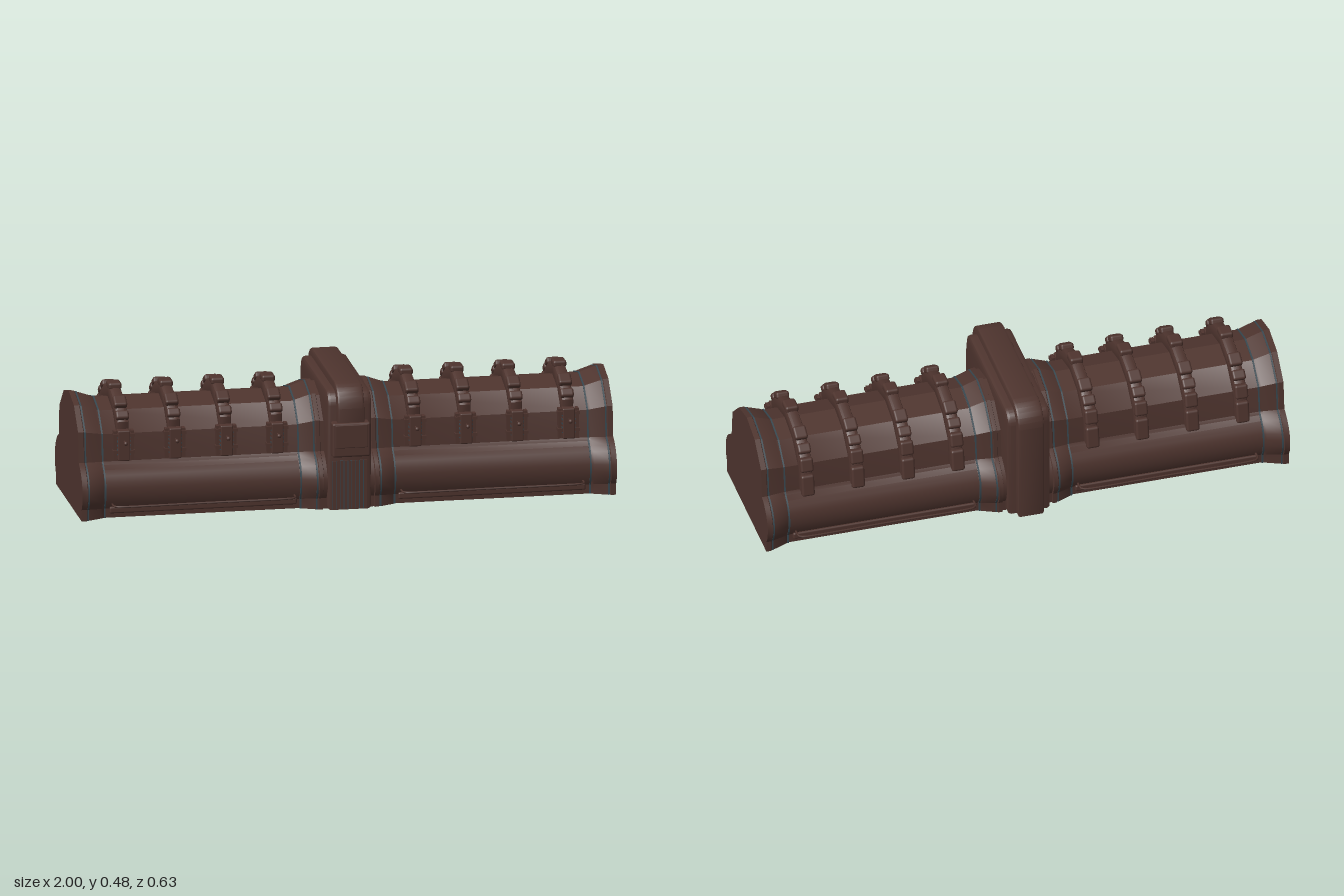
import * as THREE from 'three';
import { toCreasedNormals } from 'three/addons/utils/BufferGeometryUtils.js';
import { RoundedBoxGeometry } from 'three/addons/geometries/RoundedBoxGeometry.js';

const ZC = -0.005; // hull centre line in z

// Half cross-sections [half width, y], from the floor to the ridge
const HULL = [[0.228, 0], [0.228, 0.035], [0.24, 0.06], [0.246, 0.09], [0.246, 0.115], [0.241, 0.138],
  [0.23, 0.16], [0.215, 0.178], [0.197, 0.193], [0.19, 0.204], [0.176, 0.305], [0.1, 0.375], [0, 0.4]];
const FLANGE = [[0.262, 0], [0.262, 0.043], [0.274, 0.065], [0.28, 0.09], [0.28, 0.12], [0.272, 0.143],
  [0.259, 0.165], [0.24, 0.184], [0.222, 0.197], [0.202, 0.206], [0.19, 0.32], [0.105, 0.4], [0, 0.427]];

// Full ring between the two sections: t = 0 hull, t = 1 flange
function ring(x, t) {
  const half = HULL.map(([w, y], i) => [w + (FLANGE[i][0] - w) * t, y + (FLANGE[i][1] - y) * t]);
  const front = half.map(([w, y]) => [x, y, ZC + w]);
  const back = half.slice(0, -1).reverse().map(([w, y]) => [x, y, ZC - w]);
  return [...front, ...back];
}

// Capped loft through stations [x, t], sorted along x
function loft(stations) {
  const rings = stations.map(([x, t]) => ring(x, t));
  const n = rings[0].length, pos = [];
  const tri = (...p) => p.forEach((v) => pos.push(...v));
  for (let i = 0; i < rings.length - 1; i++) {
    for (let j = 0; j < n; j++) {
      const k = (j + 1) % n, a = rings[i], b = rings[i + 1];
      tri(a[j], b[j], a[k]);
      tri(a[k], b[j], b[k]);
    }
  }
  const first = rings[0], last = rings[rings.length - 1];
  for (let j = 0; j < n; j++) {
    const k = (j + 1) % n;
    tri([first[0][0], 0.15, ZC], first[j], first[k]);
    tri([last[0][0], 0.15, ZC], last[k], last[j]);
  }
  const g = new THREE.BufferGeometry();
  g.setAttribute('position', new THREE.Float32BufferAttribute(pos, 3));
  return toCreasedNormals(g, 0.42);
}

// Extrude a (z, y) shape along x, centred, with a bevel kept inside the outline
function extrudeAcross(shape, width, bevel) {
  const g = new THREE.ExtrudeGeometry(shape, {
    depth: width - 2 * bevel, bevelEnabled: true, bevelThickness: bevel, bevelSize: bevel,
    bevelOffset: -bevel, bevelSegments: 2, curveSegments: 6,
  });
  g.translate(0, 0, -(width - 2 * bevel) / 2);
  g.rotateY(-Math.PI / 2);
  return toCreasedNormals(g, 0.4);
}

// Arch outline with rounded shoulders; the front leg steps back to stepZ below frontY
function archShape(z0, z1, top, r, frontY = 0, stepZ = z1) {
  const s = new THREE.Shape();
  s.moveTo(z0, 0);
  s.lineTo(stepZ, 0);
  if (frontY > 0) {
    s.lineTo(stepZ, frontY);
    s.lineTo(z1, frontY);
  }
  s.lineTo(z1, top - r);
  s.quadraticCurveTo(z1 - r * 0.1, top - r * 0.1, z1 - r, top);
  s.lineTo(z0 + r, top);
  s.quadraticCurveTo(z0 + r * 0.1, top - r * 0.1, z0, top - r);
  return s;
}

export function createModel() {
  const brown = new THREE.MeshStandardMaterial({ color: 0x4e342e });
  brown.name = 'dark brown';
  const slate = new THREE.MeshStandardMaterial({ color: 0x37474f });
  slate.name = 'slate grey';

  const model = new THREE.Group();
  model.name = 'container';
  const add = (parent, name, geo, mat, x = 0, y = 0, z = 0) => {
    const m = new THREE.Mesh(geo, mat);
    m.name = name;
    m.position.set(x, y, z);
    parent.add(m);
    return m;
  };
  const box = (w, h, d) => new THREE.BoxGeometry(w, h, d);

  // Hull halves with flared flanges, seams and side rails
  const stations = [[0.07, 0.75], [0.095, 0.75], [0.097, 1], [0.112, 1], [0.114, 0.85], [0.125, 0.8], [0.17, 0.2],
    [0.18, 0], [0.91, 0], [0.92, 0.2], [0.968, 0.8], [0.978, 0.85], [0.98, 1], [1, 1]];
  for (const s of [1, -1]) {
    const side = new THREE.Group();
    side.name = s > 0 ? 'leftHalf' : 'rightHalf';
    model.add(side);
    const along = (list) => list.map(([x, t]) => [x * s, t]).sort((a, b) => a[0] - b[0]);
    add(side, 'hull', loft(along(stations)), brown);
    for (const [x, t] of [[0.176, 0.16], [0.908, 0.12], [0.974, 0.88], [0.119, 0.88]]) {
      add(side, 'seam', loft(along([[x - 0.003, t], [x + 0.003, t]])), slate);
    }
    for (const f of [1, -1]) {
      const z = (d) => ZC + f * d;
      const path = new THREE.CatmullRomCurve3([[0.2, 0.235], [0.2, 0.262], [0.206, 0.275], [0.222, 0.28],
        [0.54, 0.28], [0.858, 0.28], [0.874, 0.275], [0.88, 0.262], [0.88, 0.235]]
        .map(([x, d]) => new THREE.Vector3(x * s, 0.053, z(d))), false, 'centripetal');
      add(side, 'sideRail', new THREE.TubeGeometry(path, 60, 0.004, 6), brown);
      add(side, 'sill', new RoundedBoxGeometry(0.7, 0.025, 0.03, 2, 0.006), brown, 0.54 * s, 0.03, z(0.225));
    }
  }

  // Strap over the roof, reaching low on the back
  const strap = new THREE.Shape([[0.182, 0.3], [0.185, 0.352], [0.14, 0.392], [0.098, 0.42], [0, 0.446],
    [-0.105, 0.42], [-0.15, 0.394], [-0.202, 0.352], [-0.222, 0.29], [-0.238, 0.2], [-0.18, 0.2],
    [-0.165, 0.3], [-0.1, 0.36], [0, 0.385], [0.09, 0.36], [0.145, 0.3]]
    .map(([z, y]) => new THREE.Vector2(z, y)));
  const strapGeo = extrudeAcross(strap, 0.046, 0.012);
  // Raised pads: z, y, length, tilt
  const pads = [[0, 0.444, 0.06, 0], [0.12, 0.411, 0.052, 0.52], [-0.13, 0.411, 0.052, -0.52],
    [0.167, 0.372, 0.035, 0.8], [-0.181, 0.376, 0.04, -0.72], [-0.214, 0.325, 0.055, -1.28],
    [-0.231, 0.245, 0.085, -1.4]];

  // Each strap has a latch below its front end
  const makeStrap = (x) => {
    const g = new THREE.Group();
    g.name = 'strapWithLatch';
    g.position.x = x;
    model.add(g);
    add(g, 'strap', strapGeo, brown);
    for (const [z, y, len, tilt] of pads) {
      add(g, 'strapPad', new RoundedBoxGeometry(0.05, 0.026, len, 2, 0.009), brown, 0, y, z).rotation.x = tilt;
    }
    add(g, 'latch', new RoundedBoxGeometry(0.046, 0.116, 0.04, 2, 0.005), brown, 0, 0.267, 0.192);
    for (const y of [0.235, 0.251, 0.267, 0.283, 0.299]) {
      add(g, 'latchSlit', box(0.049, 0.006, 0.018), slate, 0, y, 0.2);
    }
    for (const y of [0.243, 0.307]) add(g, 'latchBar', box(0.082, 0.012, 0.028), brown, 0, y, 0.196);
    for (const px of [-0.032, 0.032]) add(g, 'latchPost', box(0.012, 0.112, 0.026), brown, px, 0.267, 0.19);
    add(g, 'leverRod', new THREE.CylinderGeometry(0.003, 0.003, 0.034, 8), brown, 0, 0.285, 0.223).rotation.x = Math.PI / 2;
    add(g, 'leverKnob', new THREE.SphereGeometry(0.008, 12, 8), brown, 0, 0.285, 0.243);
  };
  for (const s of [-1, 1]) for (const x of [0.258, 0.448, 0.64, 0.832]) makeStrap(s * x);

  // Central housing and the narrower arch around it
  const centre = new THREE.Group();
  centre.name = 'centreBlock';
  model.add(centre);
  add(centre, 'housing', extrudeAcross(archShape(-0.288, 0.272, 0.448, 0.05), 0.164, 0.012), brown);
  add(centre, 'arch', extrudeAcross(archShape(-0.317, 0.305, 0.478, 0.085, 0.33, 0.268), 0.1, 0.008), brown);

  // Control box with a raised lid
  add(centre, 'controlBox', new RoundedBoxGeometry(0.142, 0.13, 0.05, 2, 0.008), brown, 0, 0.275, 0.289);
  add(centre, 'controlLid', new RoundedBoxGeometry(0.122, 0.088, 0.008, 2, 0.003), brown, 0, 0.29, 0.313);

  // Vent grille and the dark opening below it
  add(centre, 'ventBack', box(0.128, 0.185, 0.004), slate, 0, 0.0945, 0.272);
  for (let i = 0; i < 9; i++) {
    add(centre, 'ventBar', box(0.011, 0.185, 0.008), brown, -0.058 + i * 0.0145, 0.0945, 0.273);
  }
  add(centre, 'floorOpening', box(0.13, 0.004, 0.09), slate, 0, 0.001, 0.215);

  return model;
}
